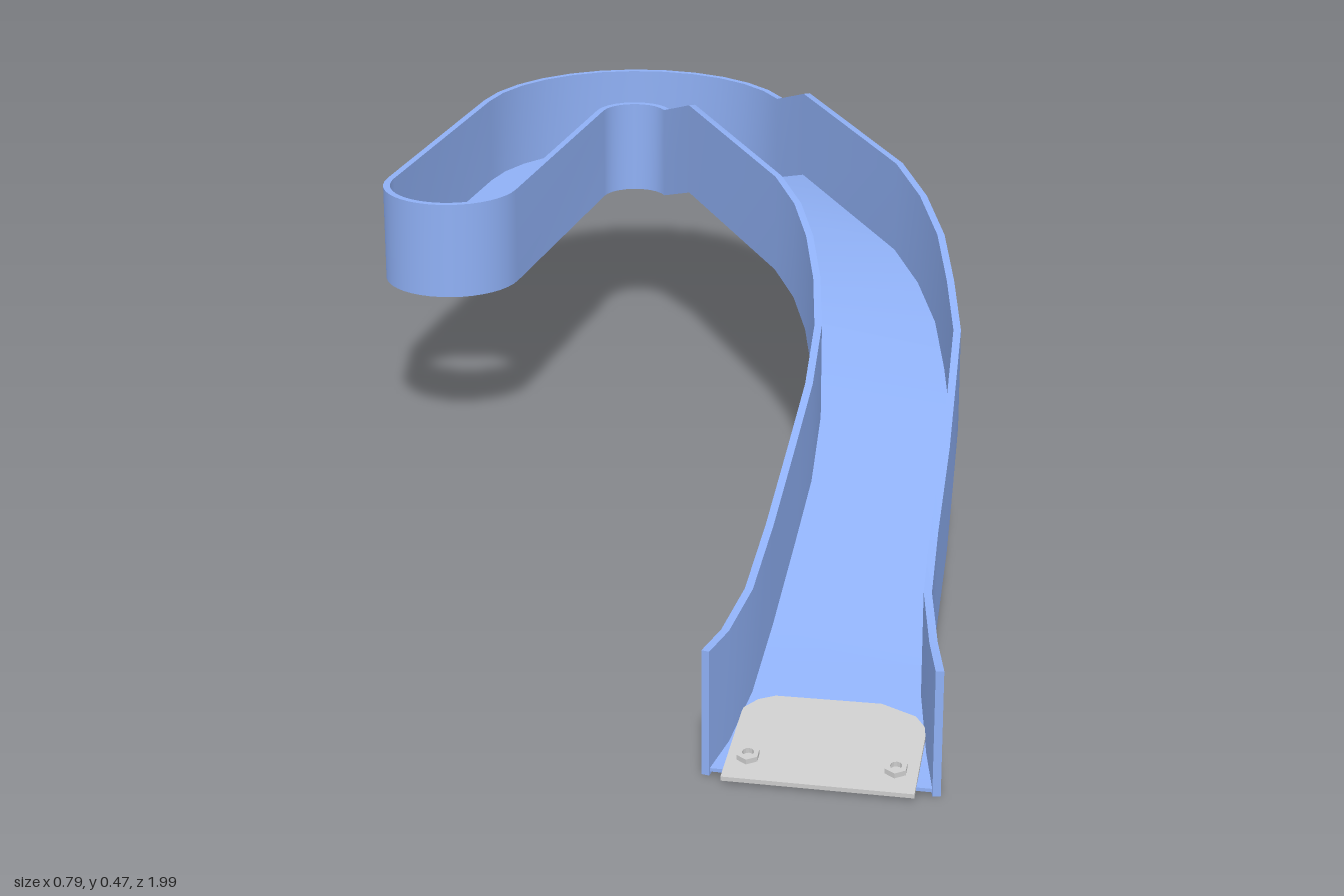
import * as THREE from 'three';
import { toCreasedNormals } from 'three/addons/utils/BufferGeometryUtils.js';

const blue = new THREE.MeshStandardMaterial({ color: 0x8fb0f5 });
const grey = new THREE.MeshStandardMaterial({ color: 0xcccccc });
const THICK = 0.011, TOP = 0.42, BOTTOM = 0.265;

// Stations of the sloping run: inner x, z, outer x, z, top y, bottom y
const RUN = [
  [-0.305, 0.83, -0.033, 0.99, 0.18, 0],
  [-0.26, 0.78, -0.008, 0.91, 0.18, 0.008],
  [-0.2, 0.705, 0.03, 0.80, 0.197, 0.035],
  [-0.127, 0.587, 0.085, 0.69, 0.23, 0.07],
  [-0.05, 0.465, 0.165, 0.54, 0.285, 0.125],
  [0.02, 0.35, 0.225, 0.42, 0.33, 0.17],
  [0.08, 0.23, 0.275, 0.32, 0.37, 0.215],
  [0.12, 0.12, 0.315, 0.2, 0.402, 0.25],
  [0.148, 0.016, 0.35, 0.08, 0.432, 0.28],
  [0.165, -0.08, 0.375, -0.05, 0.452, 0.298],
  [0.171, -0.18, 0.388, -0.18, 0.465, 0.31],
  [0.171, -0.6, 0.39, -0.6, 0.465, 0.31],
];

// Turn centre, turn angle and the centre of the drop hole
const TURN = [0.115, -0.73], PHI = THREE.MathUtils.degToRad(144.6);
const OUTER = 0.275, INNER = 0.055, MID = (OUTER + INNER) / 2, HALF = (OUTER - INNER) / 2;
const ARM = 0.46;
const END = [
  TURN[0] + MID * Math.cos(PHI) - ARM * Math.sin(PHI),
  TURN[1] - MID * Math.sin(PHI) - ARM * Math.cos(PHI),
];

// Points of an arc seen from above
function arc([cx, cz], r, a0, a1, n) {
  return Array.from({ length: n + 1 }, (_, i) => {
    const a = a0 + (a1 - a0) * i / n;
    return [cx + r * Math.cos(a), cz - r * Math.sin(a)];
  });
}

// Skin of four-cornered sections, closed at both ends
function sweep(rings) {
  const pos = [];
  const quad = (a, b, c, d) => pos.push(...a, ...b, ...c, ...a, ...c, ...d);
  for (let i = 0; i < rings.length - 1; i++) {
    const p = rings[i], q = rings[i + 1];
    for (let k = 0; k < 4; k++) {
      const m = (k + 1) % 4;
      quad(p[k], q[k], q[m], p[m]);
    }
  }
  quad(...rings[0]);
  quad(...[...rings[rings.length - 1]].reverse());
  const g = new THREE.BufferGeometry();
  g.setAttribute('position', new THREE.Float32BufferAttribute(pos, 3));
  return toCreasedNormals(g, 0.5);
}

// One continuous wall: up the outer side, round the hole, back down the inner side
function wallGeometry() {
  const flat = ([x, z]) => [x, z, TOP, BOTTOM];
  const path = [
    ...RUN.map(([, , x, z, t, b]) => [x, z, t, b]),
    ...arc(TURN, OUTER, 0, PHI, 12).map(flat),
    ...arc(END, HALF, PHI, PHI + Math.PI, 20).map(flat),
    ...arc(TURN, INNER, PHI, 0, 10).map(flat),
    ...RUN.map(([x, z, , , t, b]) => [x, z, t, b]).reverse(),
  ];
  return sweep(path.map(([x, z, t, b], i) => {
    const p = path[Math.max(i - 1, 0)], q = path[Math.min(i + 1, path.length - 1)];
    const dx = q[0] - p[0], dz = q[1] - p[1], s = THICK / Math.hypot(dx, dz);
    const u = x + dz * s, v = z - dx * s;
    return [[x, b, z], [x, t, z], [u, t, v], [u, b, v]];
  }));
}

// Floor of the run and the turn
function floorGeometry() {
  const inner = arc(TURN, INNER, 0, PHI, 12), outer = arc(TURN, OUTER, 0, PHI, 12);
  const stations = [
    ...RUN.map(([lx, lz, rx, rz, , b]) => [lx, lz, rx, rz, b]),
    ...inner.map((p, i) => [...p, ...outer[i], BOTTOM]),
  ];
  return sweep(stations.map(([lx, lz, rx, rz, b]) => {
    const ex = (rx - lx) * 0.02, ez = (rz - lz) * 0.02;
    const lo = b + 0.005, hi = b + 0.01;
    return [[rx - ex, lo, rz - ez], [rx - ex, hi, rz - ez],
      [lx + ex, hi, lz + ez], [lx + ex, lo, lz + ez]];
  }));
}

// Flat slab from a plan outline, with an optional round hole
function slab(outline, depth, hole) {
  const shape = new THREE.Shape(outline.map(([x, z]) => new THREE.Vector2(x, -z)));
  if (hole) {
    const ring = arc(hole.at, hole.r, 0, Math.PI * 2, hole.n).slice(0, -1);
    shape.holes.push(new THREE.Path(ring.map(([x, z]) => new THREE.Vector2(x, -z))));
  }
  return new THREE.ExtrudeGeometry(shape, { depth, bevelEnabled: false }).rotateX(-Math.PI / 2);
}

// Lean a slab so that it climbs with the start of the floor
function ramp(geometry, lift) {
  const p = geometry.attributes.position;
  for (let i = 0; i < p.count; i++) {
    const along = (p.getX(i) + 0.29) * 0.5 - (p.getZ(i) - 0.862) * 0.866;
    p.setY(i, p.getY(i) + lift + 0.2 * along);
  }
  geometry.computeVertexNormals();
  return geometry;
}

export function createModel() {
  const model = new THREE.Group();
  const add = (name, geometry, material) => {
    const mesh = new THREE.Mesh(geometry, material);
    mesh.name = name;
    model.add(mesh);
  };

  add('channelWall', wallGeometry(), blue);
  add('channelFloor', floorGeometry(), blue);

  // Floor of the upper arm with the drop hole
  const inset = 0.004;
  const armOutline = [
    ...arc(TURN, OUTER - inset, PHI, PHI, 1).slice(1),
    ...arc(END, HALF - inset, PHI, PHI + Math.PI, 20),
    ...arc(TURN, INNER + inset, PHI, PHI, 1).slice(1),
  ];
  const armFloor = slab(armOutline, 0.005, { at: END, r: 0.098, n: 40 });
  add('armFloor', toCreasedNormals(armFloor.translate(0, BOTTOM + 0.005, 0), 0.5), blue);

  // Mounting plate at the low end, with two hex screws
  const plate = [[-0.29, 0.862], [-0.07, 0.99], [-0.005, 0.875], [-0.008, 0.845],
    [-0.04, 0.803], [-0.165, 0.733], [-0.19, 0.731], [-0.215, 0.74]];
  add('mountingPlate', ramp(slab(plate, 0.006), 0.004), grey);
  for (const at of [[-0.243, 0.838], [-0.074, 0.937]]) {
    const hex = arc(at, 0.016, 0, Math.PI * 2, 6).slice(0, -1);
    add('screw', ramp(slab(hex, 0.008, { at, r: 0.008, n: 12 }), 0.009), grey);
  }
  return model;
}
